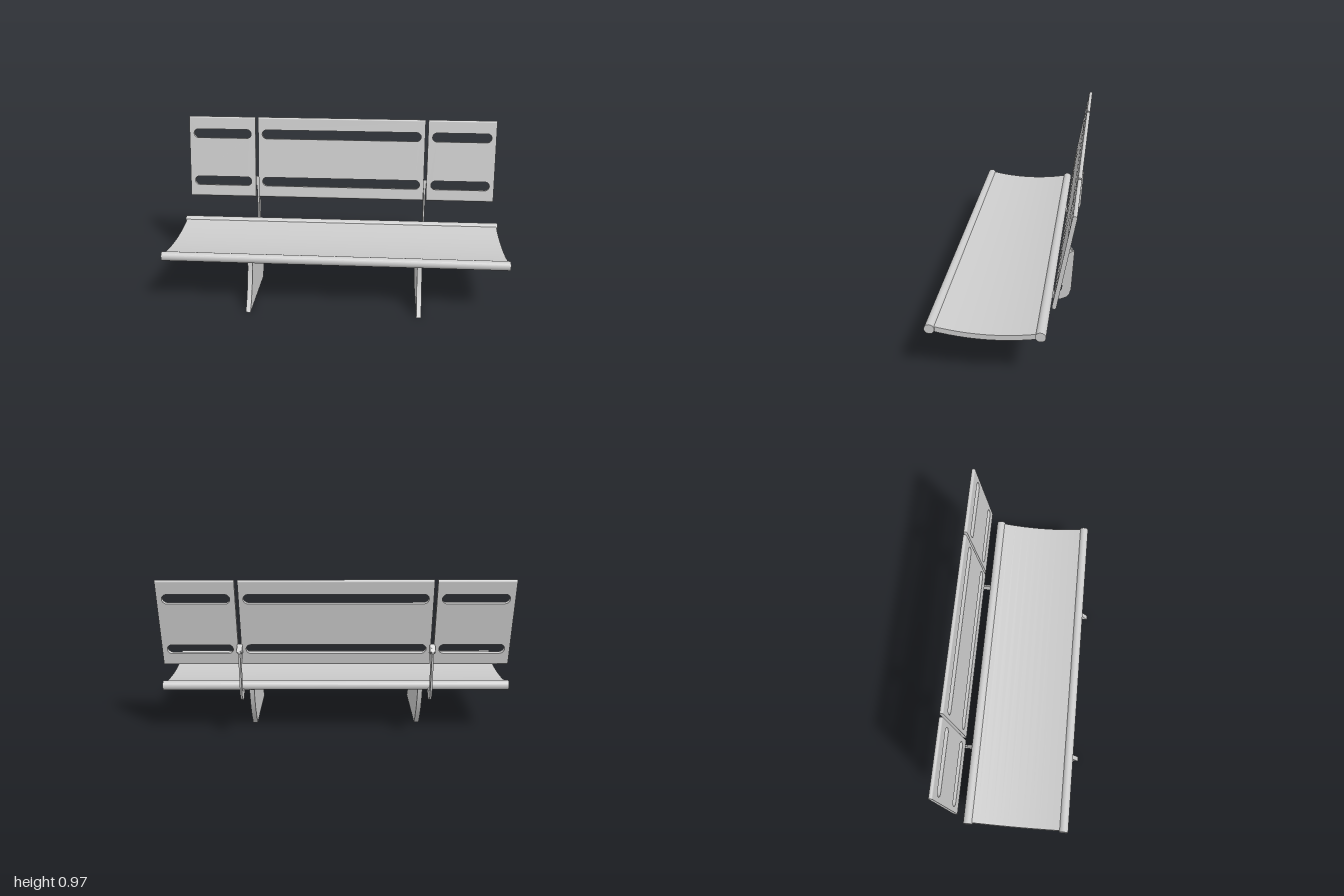
import * as THREE from 'three';
import { toCreasedNormals } from 'three/addons/utils/BufferGeometryUtils.js';

const material = new THREE.MeshStandardMaterial({ color: 0xcccccc });

function add(parent, name, geometry, x = 0, y = 0, z = 0) {
  const mesh = new THREE.Mesh(geometry, material);
  mesh.name = name;
  mesh.position.set(x, y, z);
  parent.add(mesh);
  return mesh;
}

// Extrudes a side profile of [z, y] points along x, centred on x = 0
function sideProfile(points, width) {
  const shape = new THREE.Shape(points.map(([z, y]) => new THREE.Vector2(z, y)));
  const geometry = new THREE.ExtrudeGeometry(shape, { depth: width, bevelEnabled: false });
  geometry.rotateY(-Math.PI / 2).translate(width / 2, 0, 0);
  return toCreasedNormals(geometry, 0.6);
}

// Round bar along x
function bar(radius, length) {
  return new THREE.CylinderGeometry(radius, radius, length, 24).rotateZ(Math.PI / 2);
}

// Sagging seat curve: height of the upper surface at depth z
const MID = 0.04;
const seatTop = (z) => 0.299 + 0.026 * ((z - MID) / 0.26) ** 2;

function seatStrip(thickness, width) {
  const upper = [], lower = [];
  for (let i = 0; i <= 12; i++) {
    const z = MID - 0.27 + (0.54 * i) / 12;
    upper.push([z, seatTop(z)]);
    lower.unshift([z, seatTop(z) - thickness]);
  }
  return sideProfile([...upper, ...lower], width);
}

// Stadium-shaped hole
function slot(cx, cy, length, r) {
  const h = length / 2 - r;
  const path = new THREE.Path();
  path.absarc(cx + h, cy, r, -Math.PI / 2, Math.PI / 2);
  path.absarc(cx - h, cy, r, Math.PI / 2, Math.PI * 1.5);
  path.closePath();
  return path;
}

// Slotted backrest panel with rounded top and bottom edges
function backPanel(name, width, slotLength) {
  const panel = new THREE.Group();
  panel.name = name;
  const w = width / 2, h = 0.245, r = 0.011;
  const shape = new THREE.Shape();
  shape.moveTo(-w, -h).lineTo(w, -h).lineTo(w, h).lineTo(-w, h).closePath();
  shape.holes.push(slot(0, 0.148, slotLength, 0.028), slot(0, -0.156, slotLength, 0.028));
  const sheet = new THREE.ExtrudeGeometry(shape, { depth: 2 * r, bevelEnabled: false, curveSegments: 12 });
  add(panel, 'panelSheet', toCreasedNormals(sheet.translate(0, 0, -r), 0.6));
  for (const s of [-1, 1]) add(panel, 'panelRoundedEdge', bar(r, width), 0, s * h, 0);
  return panel;
}

export function createModel() {
  const bench = new THREE.Group();
  bench.name = 'bench';

  // Seat: thin curved sheet, deeper end ribs, front and rear tubes
  add(bench, 'seatSheet', seatStrip(0.01, 1.97));
  for (const s of [-1, 1]) add(bench, 'seatEndRib', seatStrip(0.03, 0.012), s * 0.986);
  add(bench, 'frontTube', bar(0.027, 2), 0, 0.312, 0.32);
  add(bench, 'rearTube', bar(0.027, 2), 0, 0.312, -0.238);

  // Legs: curved plates swept forward at the foot
  const sweep = [[0.395, 0], [0.35, 0.06], [0.305, 0.14], [0.275, 0.23], [0.265, 0.295]];
  const rear = sweep.map(([z, y]) => [z - 0.459, y]).reverse();
  const underSeat = [-0.12, -0.04, 0.04, 0.12, 0.2].map((z) => [z, seatTop(z) - 0.006]).reverse();
  const leg = sideProfile([...sweep, ...underSeat, ...rear], 0.028);
  for (const s of [-1, 1]) add(bench, 'leg', leg, s * 0.495);

  // Brackets: flat hooks from the rear tube up to the backrest
  const hook = sideProfile([
    [-0.33, 0.59], [-0.315, 0.53], [-0.309, 0.33], [-0.305, 0.305], [-0.295, 0.292], [-0.275, 0.295],
    [-0.255, 0.305], [-0.225, 0.285], [-0.245, 0.257], [-0.27, 0.245], [-0.302, 0.246],
    [-0.332, 0.26], [-0.35, 0.282], [-0.359, 0.315], [-0.37, 0.545],
  ], 0.011);
  const head = sideProfile([[-0.327, 0.59], [-0.316, 0.535], [-0.345, 0.54], [-0.36, 0.553]], 0.03);
  for (const s of [-1, 1]) {
    add(bench, 'backBracket', hook, s * 0.537);
    add(bench, 'bracketHead', head, s * 0.537);
  }

  // Backrest: three tilted panels
  const backrest = new THREE.Group();
  backrest.name = 'backrest';
  backrest.position.set(0, 0.715, -0.34);
  backrest.rotation.x = -0.172;
  backrest.add(backPanel('middlePanel', 1.056, 1.006));
  for (const s of [-1, 1]) {
    const side = backPanel(s > 0 ? 'leftPanel' : 'rightPanel', 0.424, 0.368);
    side.position.x = s * 0.758;
    backrest.add(side);
  }
  bench.add(backrest);
  return bench;
}
